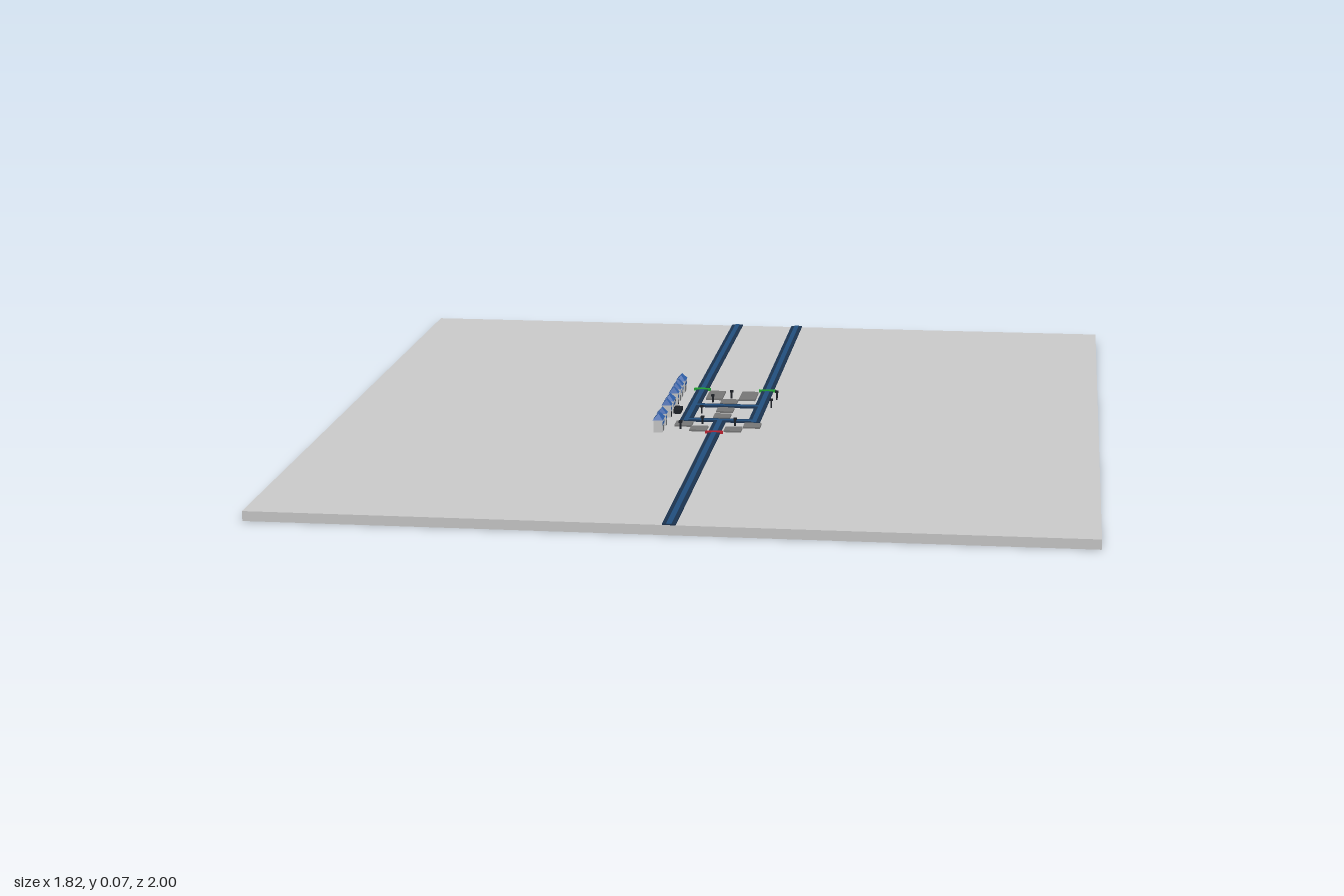
import * as THREE from 'three';

export function createModel() {
  const model = new THREE.Group();
  const mat = (color) => new THREE.MeshStandardMaterial({ color, flatShading: true });
  const grey = mat(0xcccccc), paving = mat(0x777777), navy = mat(0x1c3350), blue = mat(0x22507f);
  const roofBlue = mat(0x2f5fa8), dark = mat(0x1c2027), green = mat(0x22aa33), red = mat(0xc02030);
  const GROUND = 0.022, TILE = 0.042;

  // Box given by its centre in plan, its base height and its size
  function box(parent, name, material, x, y, z, w, h, d) {
    const mesh = new THREE.Mesh(new THREE.BoxGeometry(w, h, d), material);
    mesh.position.set(x, y + h / 2, z);
    mesh.name = name;
    parent.add(mesh);
    return mesh;
  }

  // Ground slab
  box(model, 'groundSlab', grey, 0, 0, 0, 1.82, GROUND, 2);

  // Roads: dark bed with a lighter raised middle strip
  const roads = new THREE.Group();
  roads.name = 'roads';
  model.add(roads);
  const W = 0.029, X0 = 0.009, SIDE = 0.082;
  function road(x1, z1, x2, z2) {
    const x = (x1 + x2) / 2, z = (z1 + z2) / 2, dx = x2 - x1, dz = z2 - z1;
    const alongX = dx > 0;
    box(roads, 'roadBed', navy, x, GROUND, z, alongX ? dx : W, 0.003, alongX ? W : dz);
    box(roads, 'roadStrip', blue, x, GROUND + 0.003, z,
      alongX ? dx : W * 0.4, 0.001, alongX ? W * 0.4 : dz);
  }
  for (const s of [-1, 1]) road(X0 + s * SIDE, -1, X0 + s * SIDE, 0.105);
  road(X0, 0.09, X0, 1);
  for (const z of [-0.058, 0.09]) road(X0 - SIDE, z, X0 + SIDE, z);

  // Gates across the roads
  for (const s of [-1, 1]) box(model, 'greenGate', green, X0 + s * SIDE, GROUND, -0.22, TILE, 0.006, 0.008);
  box(model, 'redGate', red, X0, GROUND, 0.212, TILE, 0.006, 0.008);

  // Paved plots: column offset in tiles, z, length in tiles
  const plots = [
    [-1, -0.162, 2], [1, -0.162, 2], [0, -0.098, 1], [0, -0.013, 1], [0, 0.05, 1],
    [-2, 0.135, 1], [2, 0.135, 1], [-1, 0.177, 1], [1, 0.177, 1],
  ];
  for (const [c, z, n] of plots)
    box(model, 'pavedPlot', paving, X0 + c * 0.041, GROUND, z, TILE * 0.97, 0.004, TILE * n);

  // Houses: walls, hipped roof, door and windows on the road side
  function house(z, length) {
    const g = new THREE.Group();
    g.name = 'house';
    g.position.set(-0.124, GROUND, z);
    model.add(g);
    const w = 0.021, h = 0.03;
    box(g, 'walls', grey, 0, 0, 0, w, h, length);
    const roofGeo = new THREE.BoxGeometry(w + 0.003, 0.014, length + 0.003);
    const p = roofGeo.attributes.position;
    // Draw the upper corners in to a short ridge
    for (let i = 0; i < p.count; i++)
      if (p.getY(i) > 0) p.setXYZ(i, p.getX(i) * 0.02, p.getY(i), p.getZ(i) * 0.5);
    const roof = new THREE.Mesh(roofGeo, roofBlue);
    roof.name = 'roof';
    roof.position.y = h + 0.007;
    g.add(roof);
    box(g, 'door', dark, w / 2, 0, 0, 0.001, 0.013, 0.006);
    const n = Math.round(length / 0.01);
    for (let i = 0; i < n; i++)
      for (const s of [-1, 1])
        box(g, 'window', roofBlue, s * w / 2, 0.017, (i - (n - 1) / 2) * 0.01, 0.001, 0.007, 0.005);
  }
  for (const z of [-0.205, 0.01, 0.2]) house(z, 0.04);
  for (const z of [-0.15, -0.109, -0.066, 0.061, 0.146]) house(z, 0.021);
  box(model, 'porch', dark, -0.104, GROUND, 0.01, 0.018, 0.01, TILE);

  // Posts with small caps
  function post(x, z, h) {
    const g = new THREE.Group();
    g.name = 'post';
    g.position.set(x, GROUND, z);
    model.add(g);
    box(g, 'postShaft', dark, 0, 0, 0, 0.004, h, 0.004);
    box(g, 'postCap', dark, 0, h - 0.005, 0, 0.008, 0.005, 0.008);
  }
  const posts = [
    [0.009, -0.146], [-0.032, -0.098], [0.122, -0.143], [0.117, -0.056], [-0.045, 0.018],
    [-0.03, 0.125], [0.05, 0.135], [-0.076, 0.177], [-0.12, -0.178], [-0.12, -0.034],
  ];
  posts.forEach(([x, z]) => post(x, z, x > 0.1 ? 0.023 : 0.02));

  return model;
}
